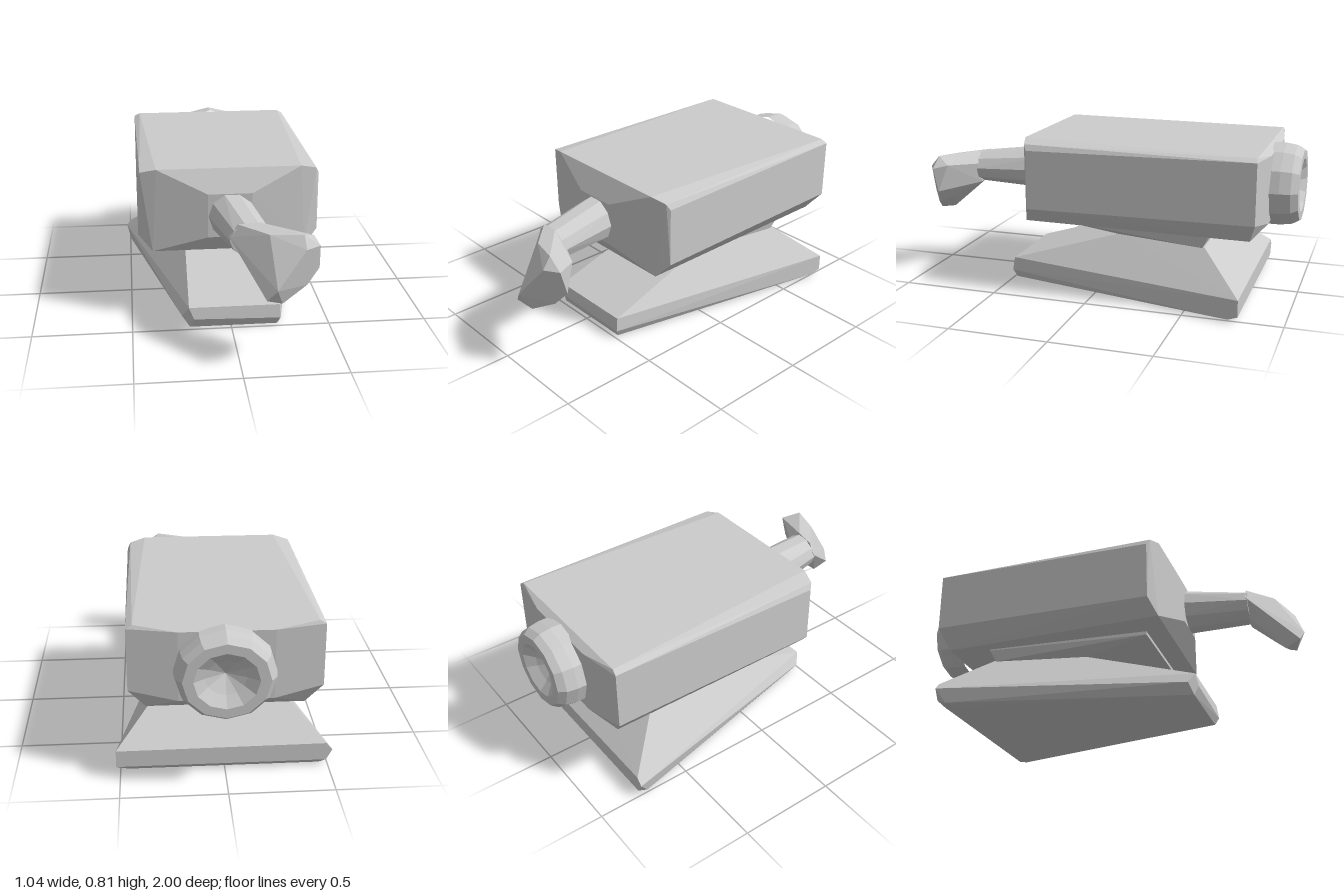
import * as THREE from 'three';
import { ConvexGeometry } from 'three/addons/geometries/ConvexGeometry.js';

const grey = new THREE.MeshStandardMaterial({ color: 0xcccccc, flatShading: true });

// Faceted solid wrapped around a few corner points
function hull(name, points) {
  const geometry = new ConvexGeometry(points.map((p) => new THREE.Vector3(...p)));
  const mesh = new THREE.Mesh(geometry, grey);
  mesh.name = name;
  return mesh;
}

// Corner points copied to both sides of x = 0
const mirrored = (points) => points.flatMap(([x, y, z]) => [[x, y, z], [-x, y, z]]);

// Ring of points facing z
function ring(x, y, z, rx, ry, sides) {
  return Array.from({ length: sides }, (_, i) => {
    const a = (i / sides) * Math.PI * 2;
    return [x + rx * Math.cos(a), y + ry * Math.sin(a), z];
  });
}

export function createModel() {
  const model = new THREE.Group();
  model.name = 'model';

  // Wedge-shaped foot, narrow at the front and wide at the back
  model.add(hull('base', [
    [-0.21, 0.005, 0.48], [0.235, 0.005, 0.48],
    [-0.25, 0.06, 0.46], [-0.19, 0.055, 0.5], [0.25, 0.045, 0.5],
    [-0.215, 0.115, 0.49], [0.245, 0.115, 0.49],
    [-0.46, 0, -0.75], [0.46, 0, -0.75],
    [-0.495, 0.01, -0.73], [0.51, 0.01, -0.73],
    [-0.52, 0.085, -0.78], [0.52, 0.03, -0.78], [0.52, 0.115, -0.78],
    [-0.49, 0.12, -0.78], [-0.49, 0.03, -0.78],
    [-0.2, 0.3, -0.1], [0.225, 0.3, -0.1],
    [-0.3, 0.3, -0.57], [0.325, 0.3, -0.57],
  ]));

  // Flared neck between foot and body
  model.add(hull('neck', [
    [-0.2, 0.295, -0.1], [0.225, 0.295, -0.1],
    [-0.305, 0.295, -0.56], [0.325, 0.295, -0.56],
    [-0.24, 0.355, 0.25], [0.26, 0.355, 0.25],
    [-0.32, 0.355, -0.59], [0.34, 0.355, -0.59],
    [-0.32, 0.39, -0.59], [0.34, 0.39, -0.59],
    [-0.24, 0.39, 0.25], [0.26, 0.39, 0.25],
  ]));

  // Chamfered box body, bulging at the front and back
  model.add(hull('body', mirrored([
    [0.36, 0.805, 0.36], [0.44, 0.785, 0.335], [0.455, 0.755, 0.32],
    [0.455, 0.455, 0.32], [0.385, 0.375, 0.355],
    [0.11, 0.69, 0.42], [0.11, 0.465, 0.42],
    [0.42, 0.787, -0.83], [0.45, 0.77, -0.835],
    [0.45, 0.465, -0.835], [0.37, 0.365, -0.8], [0.34, 0.36, -0.67],
    [0.22, 0.76, -0.865], [0.22, 0.42, -0.865],
  ])));

  // Tapered arm reaching forward
  model.add(hull('arm', [
    ...ring(0.005, 0.575, 0.4, 0.117, 0.117, 10),
    ...ring(0.065, 0.573, 0.74, 0.103, 0.083, 10),
  ]));

  // Angular head at the end of the arm
  model.add(hull('armHead', [
    [-0.04, 0.59, 0.73], [0, 0.65, 0.73], [0.1, 0.66, 0.74],
    [0.165, 0.6, 0.73], [0.12, 0.49, 0.73], [0.02, 0.5, 0.73],
    [0.13, 0.645, 0.86], [0.28, 0.655, 0.9], [0.34, 0.62, 0.82],
    [0.355, 0.6, 0.9], [0.285, 0.6, 0.945], [0.36, 0.48, 0.87],
    [0.3, 0.41, 0.9], [0.18, 0.345, 0.95], [0.12, 0.34, 0.9],
    [0.105, 0.375, 0.98], [0.15, 0.43, 1], [0.2, 0.42, 0.84],
  ]));

  // Round rear knob with a hollow centre
  const profile = [
    [0.212, 0], [0.212, 0.06], [0.203, 0.115], [0.18, 0.15],
    [0.135, 0.15], [0.085, 0.11], [0, 0.06],
  ].map(([r, h]) => new THREE.Vector2(r, h));
  const knob = new THREE.Mesh(new THREE.LatheGeometry(profile, 12).rotateX(-Math.PI / 2), grey);
  knob.name = 'rearKnob';
  knob.scale.x = 1.1;
  knob.position.set(0.01, 0.577, -0.85);
  model.add(knob);

  return model;
}
